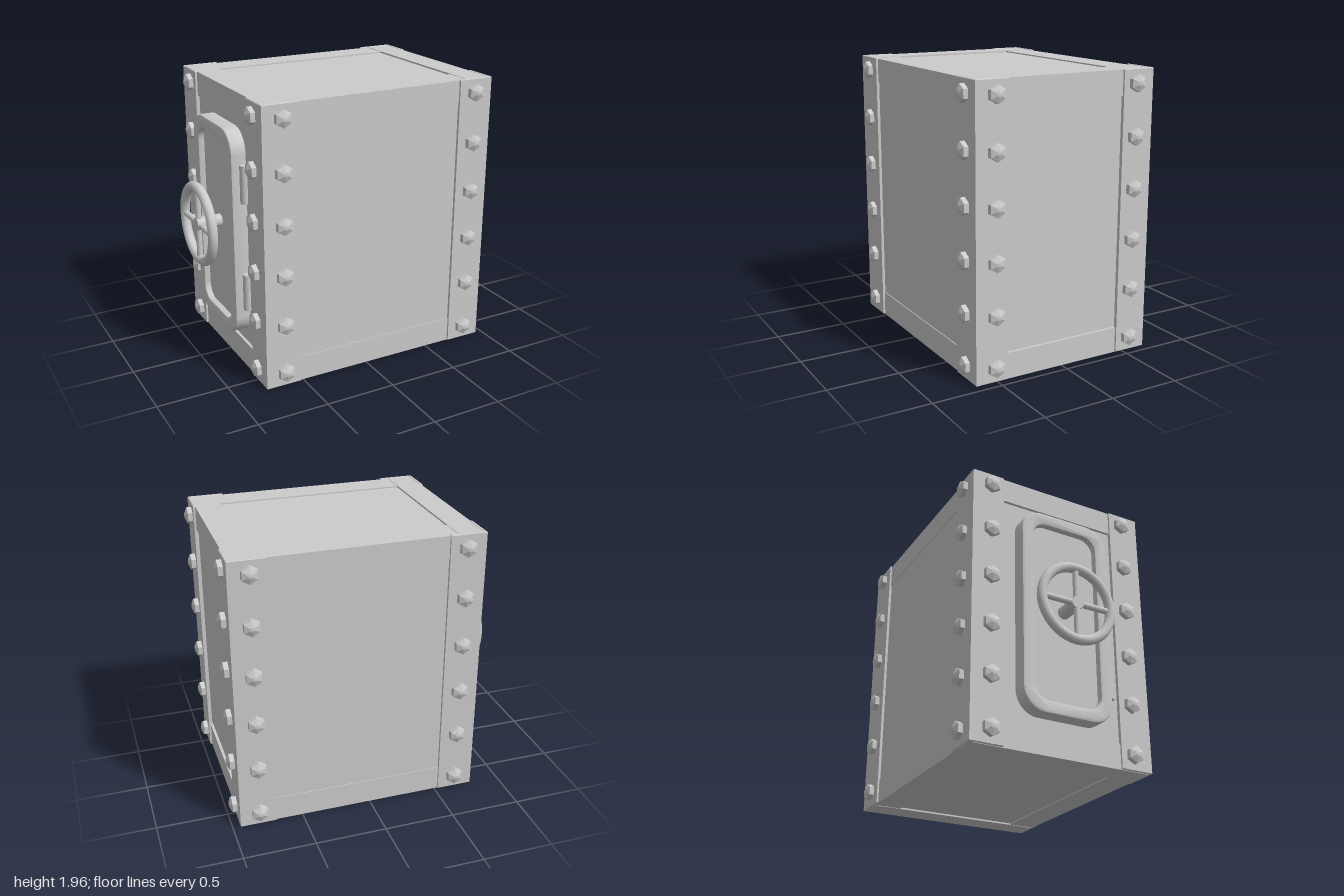
import * as THREE from 'three';
import { toCreasedNormals } from 'three/addons/utils/BufferGeometryUtils.js';

const X0 = -0.765, X1 = 0.932, Z0 = -0.665, Z1 = 0.647, H = 1.96; // frame limits
const CX = (X0 + X1) / 2, CZ = (Z0 + Z1) / 2;

export function createModel() {
  const model = new THREE.Group();
  const grey = new THREE.MeshStandardMaterial({ color: 0xcccccc });
  const faceted = new THREE.MeshStandardMaterial({ color: 0xcccccc, flatShading: true });

  const add = (name, geometry, x = 0, y = 0, z = 0, material = grey, parent = model) => {
    const mesh = new THREE.Mesh(geometry, material);
    mesh.name = name;
    mesh.position.set(x, y, z);
    parent.add(mesh);
    return mesh;
  };
  // box given by its limits on each axis
  const block = (name, x0, x1, y0, y1, z0, z1) =>
    add(name, new THREE.BoxGeometry(x1 - x0, y1 - y0, z1 - z0), (x0 + x1) / 2, (y0 + y1) / 2, (z0 + z1) / 2);

  // Slightly recessed panels on every side
  block('bodyPanels', X0 + 0.02, X1 - 0.02, 0.012, H - 0.012, Z0 + 0.006, Z1 - 0.006);

  // Top and bottom frame: long beams along x, end beams along z
  for (const [y0, y1, lift] of [[0.003, 0.18, 0], [1.787, H - 0.003, 0.003]]) {
    block('longBeam', X0 + 0.002, X1 - 0.002, y0, y1, Z0, Z0 + 0.2);
    block('longBeam', X0 + 0.002, X1 - 0.002, y0, y1, Z1 - 0.2, Z1);
    const drop = lift ? 0 : 0.003;
    block('endBeam', X0, X0 + 0.18, y0 - drop, y1 + lift, Z0 + 0.012, Z1 - 0.012);
    block('endBeam', X1 - 0.18, X1, y0 - drop, y1 + lift, Z0 + 0.012, Z1 - 0.012);
  }

  // Hexagonal bolt with a low pointed head, axis turned to +z
  const boltGeometry = new THREE.LatheGeometry(
    [[0.06, -0.005], [0.06, 0.033], [0.018, 0.05], [0, 0.052]].map(p => new THREE.Vector2(...p)), 6);
  boltGeometry.rotateX(Math.PI / 2);

  // Corner angle irons with six bolts on each leg
  const bevel = 0.005, t = 0.026;
  for (const sx of [-1, 1]) for (const sz of [-1, 1]) {
    const corner = new THREE.Group();
    corner.name = 'cornerBracket';
    model.add(corner);
    const ox = sx < 0 ? X0 - 0.014 : X1 + 0.014;
    const oz = sz < 0 ? Z0 - 0.013 : Z1 + 0.014;
    const outline = [[0, 0], [0.255, 0], [0.255, t], [t, t], [t, 0.235], [0, 0.235]]
      .map(([a, b]) => new THREE.Vector2(ox - sx * a, -(oz - sz * b)));
    const iron = new THREE.ExtrudeGeometry(new THREE.Shape(outline), {
      depth: H - 2 * bevel, bevelThickness: bevel, bevelSize: bevel, bevelOffset: -bevel, bevelSegments: 1
    });
    iron.rotateX(-Math.PI / 2);
    add('angleIron', toCreasedNormals(iron, 0.5), 0, 0.003 + bevel, 0, grey, corner);
    for (let i = 0; i < 6; i++) {
      const y = 0.107 + i * 0.3525;
      const zBolt = add('faceBolt', boltGeometry, CX + sx * 0.725, y, oz, faceted, corner);
      if (sz < 0) zBolt.rotation.y = Math.PI;
      const xBolt = add('sideBolt', boltGeometry, ox, y, CZ + sz * 0.53, faceted, corner);
      xBolt.rotation.y = sx * Math.PI / 2;
    }
  }

  // Door on the -x end, outlined in z and y and extruded outwards
  const doorY = 0.985, doorZ = -0.007;
  const roundedRect = (Type, w, h, r) => {
    const p = new Type(), a = w / 2, b = h / 2;
    p.moveTo(-a + r, -b);
    p.lineTo(a - r, -b);
    p.absarc(a - r, -b + r, r, -Math.PI / 2, 0);
    p.lineTo(a, b - r);
    p.absarc(a - r, b - r, r, 0, Math.PI / 2);
    p.lineTo(-a + r, b);
    p.absarc(-a + r, b - r, r, Math.PI / 2, Math.PI);
    p.lineTo(-a, -b + r);
    p.absarc(-a + r, -b + r, r, Math.PI, Math.PI * 1.5);
    return p;
  };
  const rimShape = roundedRect(THREE.Shape, 0.67, 1.47, 0.16);
  rimShape.holes.push(roundedRect(THREE.Path, 0.49, 1.29, 0.1));
  const rim = new THREE.ExtrudeGeometry(rimShape, {
    depth: 0.09, bevelThickness: 0.016, bevelSize: 0.016, bevelOffset: -0.016, bevelSegments: 2, curveSegments: 8
  });
  rim.rotateY(-Math.PI / 2);
  add('doorRim', toCreasedNormals(rim, 0.6), -0.744, doorY, doorZ);
  const panel = new THREE.ExtrudeGeometry(roundedRect(THREE.Shape, 0.56, 1.36, 0.12), { depth: 0.06, bevelEnabled: false });
  panel.rotateY(-Math.PI / 2);
  add('doorPanel', toCreasedNormals(panel, 0.6), -0.745, doorY, doorZ);

  // Two hinge barrels beside the door
  for (const y of [0.6, 1.37])
    add('hinge', new THREE.CylinderGeometry(0.034, 0.034, 0.26, 16), -0.767, y, 0.355);

  // Handwheel on its shaft
  const wheel = new THREE.Group();
  wheel.name = 'handwheel';
  wheel.position.set(-0.965, 1.007, -0.007);
  model.add(wheel);
  add('wheelRing', new THREE.TorusGeometry(0.262, 0.034, 12, 40).rotateY(Math.PI / 2), 0, 0, 0, grey, wheel);
  add('shaft', new THREE.CylinderGeometry(0.045, 0.045, 0.2, 20).rotateZ(Math.PI / 2), 0.08, 0, 0, grey, wheel);
  for (const angle of [0, Math.PI / 2])
    add('spoke', new THREE.CylinderGeometry(0.021, 0.021, 0.52, 12).rotateX(angle), 0, 0, 0, grey, wheel);

  return model;
}
